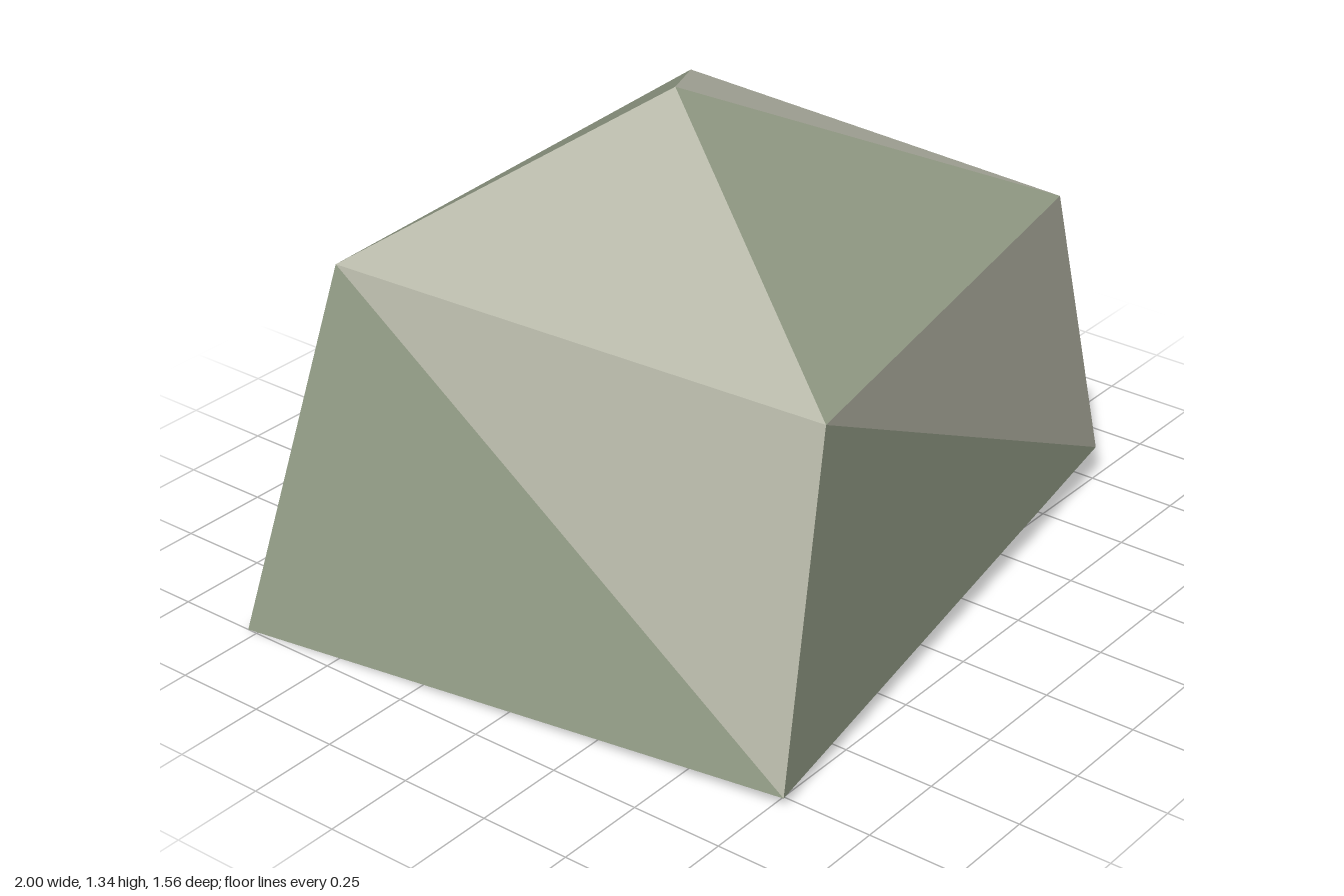
import * as THREE from 'three';

// Corners of the rock, counterclockwise from the front on the -x side
const foot = [[-0.79, 0.03, 0.78], [1, 0.1, 0.505], [0.86, 0.05, -0.69], [-1, 0, -0.78]];
const shoulder = [[-0.52, 0.88, 0.69], [0.675, 0.99, 0.55], [0.54, 1.105, -0.55], [-0.655, 0.92, -0.735]];
const peak = [-0.01, 1.335, -0.16];

function facets(name, triangles, material) {
  const geometry = new THREE.BufferGeometry();
  geometry.setAttribute('position', new THREE.Float32BufferAttribute(triangles.flat(2), 3));
  geometry.computeVertexNormals();
  const mesh = new THREE.Mesh(geometry, material);
  mesh.name = name;
  return mesh;
}

export function createModel() {
  const paleStone = new THREE.MeshStandardMaterial({ color: 0xb3b4a5 });
  paleStone.name = 'pale stone';
  const mossStone = new THREE.MeshStandardMaterial({ color: 0x8d9681 });
  mossStone.name = 'moss stone';

  const pale = [], moss = [];
  for (let i = 0; i < 4; i++) {
    const j = (i + 1) % 4;
    // Each side: a mossy lower facet and a pale upper one
    moss.push([foot[i], foot[j], shoulder[i]]);
    pale.push([shoulder[i], foot[j], shoulder[j]]);
    // Cap facets alternate, mossy at front and back
    (i % 2 ? pale : moss).push([shoulder[i], shoulder[j], peak]);
  }
  // Underside
  moss.push([foot[0], foot[3], foot[1]]);
  pale.push([foot[1], foot[3], foot[2]]);

  const rock = new THREE.Group();
  rock.name = 'rock';
  rock.add(facets('paleFacets', pale, paleStone), facets('mossFacets', moss, mossStone));
  return rock;
}
